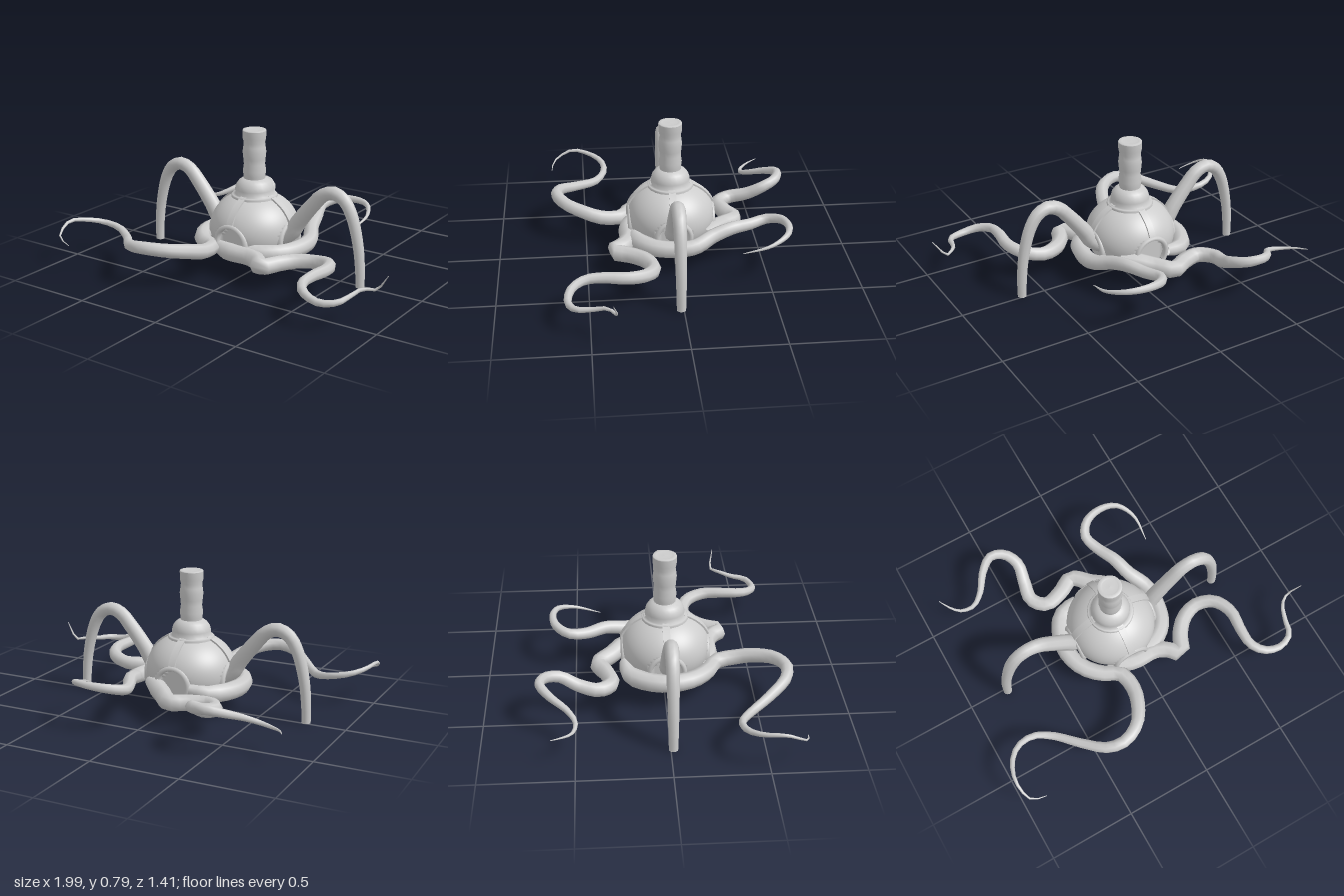
import * as THREE from 'three';

const CX = -0.068, CZ = 0.01, CY = 0.22, R = 0.255, SQUASH = 0.82, PORT_Y = 0.18;
const mat = new THREE.MeshStandardMaterial({ color: 0xcccccc, side: THREE.DoubleSide });

function add(parent, name, geo) {
  const mesh = new THREE.Mesh(geo, mat);
  mesh.name = name;
  parent.add(mesh);
  return mesh;
}

const lathe = (pts, seg, start = 0, sweep = Math.PI * 2) =>
  new THREE.LatheGeometry(pts.map(p => new THREE.Vector2(...p)), seg, start, sweep);

// Tube along a smooth curve whose radius follows a rule of arc length
function taperedTube(points, radiusAt, segments, sides) {
  const curve = new THREE.CatmullRomCurve3(points.map(p => new THREE.Vector3(...p)), false, 'centripetal');
  const geo = new THREE.TubeGeometry(curve, segments, 1, sides);
  const pos = geo.attributes.position, v = new THREE.Vector3();
  for (let i = 0; i <= segments; i++) {
    const c = curve.getPointAt(i / segments), r = radiusAt(i / segments);
    for (let j = 0; j <= sides; j++) {
      const k = i * (sides + 1) + j;
      v.fromBufferAttribute(pos, k).sub(c).multiplyScalar(r).add(c);
      pos.setXYZ(k, v.x, v.y, v.z);
    }
  }
  return geo;
}

// Hollow flattened dome, open below, with four recessed portholes
function domeGeometry() {
  const geo = new THREE.SphereGeometry(R, 96, 48, 0, Math.PI * 2, 0, 2.1);
  geo.scale(1, SQUASH, 1);
  const pos = geo.attributes.position, drop = PORT_Y - CY;
  for (let i = 0; i < pos.count; i++) {
    let x = pos.getX(i), z = pos.getZ(i);
    const y = pos.getY(i);
    if (Math.hypot(x, y - drop) < 0.092) z = Math.sign(z) * 0.215;
    if (Math.hypot(z, y - drop) < 0.092) x = Math.sign(x) * 0.215;
    pos.setXYZ(i, x, y, z);
  }
  geo.computeVertexNormals();
  return geo;
}

// Curved strap on the dome from the collar down to a porthole
function strapGeometry() {
  const a0 = 0.34, a1 = 1.16, shape = new THREE.Shape();
  shape.absarc(0, 0, R + 0.01, a0, a1, false);
  shape.absarc(0, 0, R - 0.02, a1, a0, true);
  const geo = new THREE.ExtrudeGeometry(shape, { depth: 0.04, bevelEnabled: false, curveSegments: 14 });
  return geo.translate(0, 0, -0.02).scale(1, SQUASH, 1);
}

export function createModel() {
  const model = new THREE.Group();
  model.name = 'tentacledDome';

  const body = new THREE.Group();
  body.name = 'body';
  body.position.set(CX, 0, CZ);
  model.add(body);

  add(body, 'dome', domeGeometry()).position.y = CY;

  // Straps and arched porthole rims on four sides, the rims open at the dome's lower edge
  const rimProfile = [[0.084, 0.2], [0.084, 0.243], [0.089, 0.252], [0.102, 0.25], [0.11, 0.24], [0.11, 0.2]];
  const gap = 0.95;
  for (let i = 0; i < 4; i++) {
    const side = new THREE.Group();
    side.name = 'domeSide';
    side.rotation.y = i * Math.PI / 2;
    body.add(side);
    add(side, 'strap', strapGeometry()).position.y = CY;
    const rim = add(side, 'portholeRim', lathe(rimProfile, 28, Math.PI / 2 + gap, 2 * (Math.PI - gap)));
    rim.rotation.z = -Math.PI / 2;
    rim.position.y = PORT_Y;
  }

  // Collar and ribbed column
  add(body, 'collar', lathe([[0.132, 0.375], [0.132, 0.408], [0.126, 0.414], [0.11, 0.416], [0.111, 0.445],
    [0.104, 0.47], [0.09, 0.49], [0.072, 0.503], [0.05, 0.51]], 24));
  add(body, 'column', lathe([[0.06, 0.49], [0.062, 0.52], [0.066, 0.55], [0.06, 0.59], [0.063, 0.62], [0.067, 0.66],
    [0.063, 0.69], [0.06, 0.714], [0.066, 0.738], [0.067, 0.782]], 20));
  add(body, 'columnTop', lathe([[0.067, 0.782], [0.065, 0.787], [0.046, 0.789], [0.043, 0.783], [0, 0.786]], 20));

  // Arched legs, mirrored about the body
  const arch = [[0.17, 0.18], [0.25, 0.225], [0.3, 0.3], [0.4, 0.425], [0.455, 0.482], [0.52, 0.506], [0.585, 0.48],
    [0.635, 0.405], [0.68, 0.245], [0.697, 0.1], [0.7, 0]];
  for (const s of [1, -1]) {
    const leg = new THREE.Group();
    leg.name = s > 0 ? 'leftArchLeg' : 'rightArchLeg';
    leg.position.set(CX, 0, 0.014);
    model.add(leg);
    add(leg, 'archTube', taperedTube(arch.map(([x, y]) => [s * x, y, 0]), u => 0.05 - 0.025 * u, 30, 10));
    const foot = add(leg, 'foot', new THREE.CircleGeometry(0.025, 10));
    foot.rotation.x = Math.PI / 2;
    foot.position.set(s * 0.7, 0.001, 0);
  }

  // Tentacles that wrap the base, then trail outward; points are x, z, y
  const tentacles = {
    rightFrontTentacle: [[-0.17, -0.22, 0.17], [-0.27, -0.2, 0.155], [-0.34, -0.11, 0.15], [-0.37, 0.01, 0.15],
      [-0.34, 0.14, 0.15], [-0.26, 0.235, 0.15], [-0.165, 0.295, 0.155], [-0.145, 0.4, 0.165], [-0.17, 0.5, 0.19],
      [-0.24, 0.61, 0.215], [-0.35, 0.665, 0.225], [-0.45, 0.645, 0.21], [-0.56, 0.545, 0.175], [-0.68, 0.42, 0.15],
      [-0.78, 0.37, 0.17], [-0.88, 0.385, 0.19], [-0.95, 0.455, 0.21], [-0.985, 0.57, 0.225],
      [-0.955, 0.68, 0.17], [-0.87, 0.7, 0.14]],
    leftFrontTentacle: [[-0.2, 0.21, 0.14], [-0.06, 0.26, 0.135], [0.08, 0.265, 0.135], [0.15, 0.3, 0.135],
      [0.205, 0.355, 0.135], [0.26, 0.255, 0.135], [0.33, 0.18, 0.14], [0.43, 0.145, 0.145], [0.53, 0.185, 0.165],
      [0.58, 0.29, 0.18], [0.57, 0.42, 0.185], [0.575, 0.52, 0.18], [0.63, 0.59, 0.165], [0.73, 0.612, 0.145],
      [0.81, 0.575, 0.15], [0.835, 0.49, 0.16], [0.865, 0.41, 0.18], [0.92, 0.368, 0.175], [0.995, 0.385, 0.27]],
    leftBackTentacle: [[0.0, 0.23, 0.145], [0.11, 0.21, 0.145], [0.195, 0.14, 0.145], [0.235, 0.02, 0.145],
      [0.235, -0.1, 0.155], [0.18, -0.21, 0.19], [0.145, -0.32, 0.215], [0.095, -0.43, 0.21], [0.067, -0.53, 0.225],
      [0.12, -0.605, 0.245], [0.23, -0.63, 0.255], [0.325, -0.6, 0.25], [0.385, -0.5, 0.22], [0.38, -0.35, 0.18]],
    rightBackTentacle: [[0.1, -0.17, 0.165], [0.03, -0.23, 0.16], [-0.04, -0.29, 0.145], [-0.125, -0.37, 0.135],
      [-0.22, -0.325, 0.135], [-0.33, -0.3, 0.135], [-0.395, -0.37, 0.14], [-0.38, -0.48, 0.165], [-0.365, -0.58, 0.215],
      [-0.41, -0.66, 0.24], [-0.49, -0.685, 0.25], [-0.57, -0.63, 0.225], [-0.64, -0.54, 0.185], [-0.71, -0.495, 0.155],
      [-0.79, -0.51, 0.145], [-0.84, -0.56, 0.155], [-0.875, -0.62, 0.165]],
  };
  const taper = u => Math.min(1, 0.6 + 6 * u) * 0.051 * (1 - Math.pow(u, 1.6)) + 0.002;
  for (const [name, pts] of Object.entries(tentacles)) {
    add(model, name, taperedTube(pts.map(([x, z, y]) => [x, y, z]), taper, 44, 8));
  }
  return model;
}
